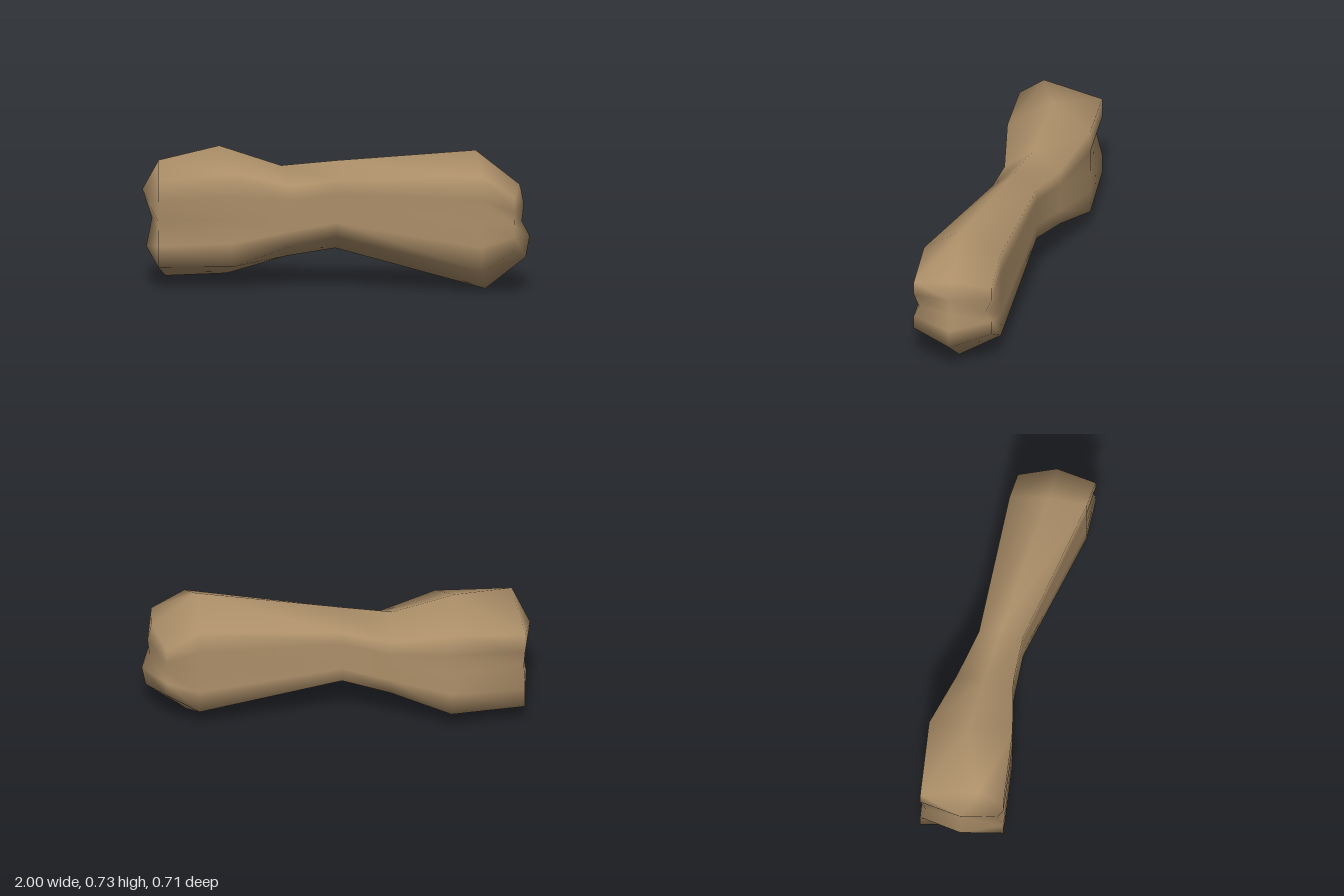
import * as THREE from 'three';

// Cross-section running top, front side (downwards), bottom, back side (upwards).
// top and bottom are [x, y, z]; sides is { x, front, back, levels, groove }.
function ring(top, bottom, { x, front, back, levels, groove = 0 }) {
  const inset = i => (i === 2 ? groove : 0); // notch between the two knuckles
  const frontSide = levels.map((y, i) => [x, y, front - inset(i)]);
  const backSide = levels.map((y, i) => [x, y, back + inset(i)]).reverse();
  return [top, ...frontSide, bottom, ...backSide];
}

// Five evenly spaced heights for a plain six-sided section
const even = (up, low) => [0, 1, 2, 3, 4].map(i => up + (low - up) * i / 4);

function boneGeometry() {
  const rings = [
    ring([-0.92, 0.665, -0.05], [-0.88, 0.045, -0.135],
      { x: -0.93, front: 0.08, back: -0.355, levels: [0.57, 0.46, 0.36, 0.23, 0.12], groove: 0.03 }),
    ring([-0.6, 0.725, -0.14], [-0.56, 0.055, -0.135],
      { x: -0.54, front: 0.085, back: -0.352, levels: even(0.61, 0.12) }),
    ring([-0.28, 0.625, -0.09], [-0.25, 0.15, -0.09],
      { x: -0.24, front: 0.055, back: -0.24, levels: even(0.54, 0.22) }),
    ring([0, 0.657, -0.035], [0, 0.197, -0.035],
      { x: 0, front: 0.08, back: -0.152, levels: even(0.57, 0.27) }),
    ring([0.72, 0.73, 0.13], [0.77, 0.003, 0.14],
      { x: 0.74, front: 0.33, back: -0.075, levels: even(0.62, 0.12) }),
    ring([0.95, 0.55, 0.15], [0.98, 0.17, 0.16],
      { x: 0.91, front: 0.358, back: -0.05, levels: [0.51, 0.435, 0.365, 0.305, 0.23], groove: 0.028 }),
  ];
  // Middle points of the ridge running down each knuckled end
  const leftRidge = [[-1, 0.5, -0.14], [-0.95, 0.35, -0.14], [-0.98, 0.2, -0.14]];
  const rightRidge = [[0.97, 0.45, 0.16], [0.96, 0.36, 0.16], [1, 0.28, 0.16]];

  const n = rings[0].length;
  const points = [...rings.flat(), ...leftRidge, ...rightRidge];
  const index = [];
  const quad = (a, b, c, d) => index.push(a, b, c, a, c, d);

  // Shaft
  for (let j = 0; j < rings.length - 1; j++) {
    for (let i = 0; i < n; i++) {
      const k = (i + 1) % n;
      quad(j * n + i, j * n + k, (j + 1) * n + k, (j + 1) * n + i);
    }
  }

  // Ends: a strip on each side of the ridge
  const cap = (start, ridgeStart, face) => {
    const ridge = [start, ridgeStart, ridgeStart + 1, ridgeStart + 2, start + 6];
    for (let i = 0; i < 4; i++) {
      const f = start + 1 + i, b = start + 11 - i;
      face(f, f + 1, ridge[i + 1], ridge[i]);
      face(ridge[i], ridge[i + 1], b - 1, b);
    }
    // Close the sliver corners where the ridge meets the rim
  };
  const total = rings.length * n;
  cap(0, total, (a, b, c, d) => quad(d, c, b, a));
  cap((rings.length - 1) * n, total + 3, quad);

  const geometry = new THREE.BufferGeometry();
  geometry.setAttribute('position', new THREE.Float32BufferAttribute(points.flat(), 3));
  geometry.setIndex(index);
  geometry.computeVertexNormals();
  return geometry;
}

export function createModel() {
  const group = new THREE.Group();
  group.name = 'bone';
  const material = new THREE.MeshStandardMaterial({ color: 0xac8f69 });
  material.name = 'tan bone';
  const bone = new THREE.Mesh(boneGeometry(), material);
  bone.name = 'boneBody';
  group.add(bone);
  return group;
}
